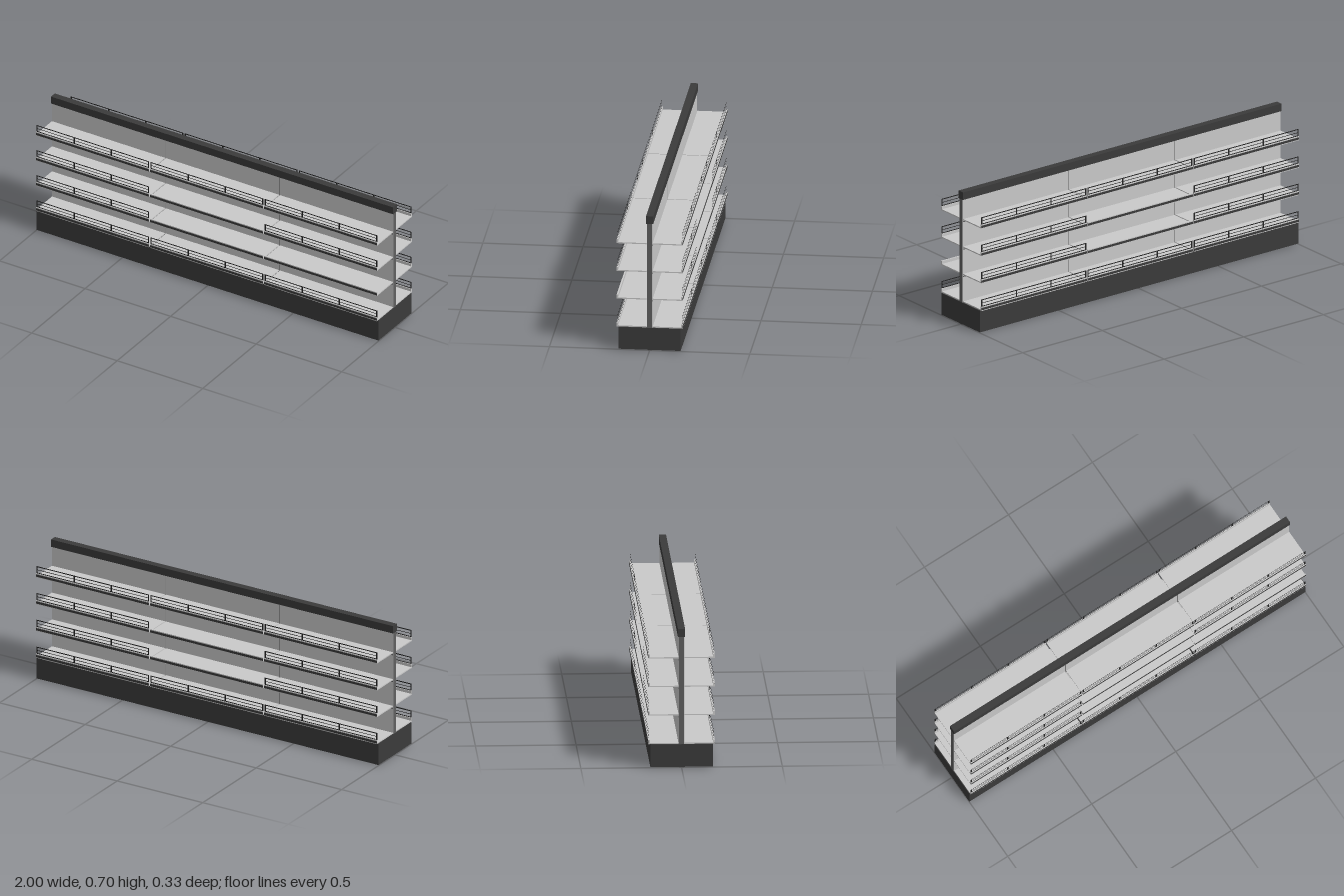
import * as THREE from 'three';

const mat = (name, color, side = THREE.FrontSide) => {
  const m = new THREE.MeshStandardMaterial({ color, side });
  m.name = name;
  return m;
};

export function createModel() {
  const light = mat('light grey metal', 0xcacaca);
  const grey = mat('mid grey metal', 0x606060);
  const dark = mat('charcoal', 0x3b3b3b);
  const wire = mat('black wire', 0x222222, THREE.DoubleSide);

  const root = new THREE.Group();
  root.name = 'doubleSidedShelving';

  // Box given by its limits on each axis
  const box = (parent, name, m, x0, x1, y0, y1, z0, z1) => {
    const mesh = new THREE.Mesh(new THREE.BoxGeometry(x1 - x0, y1 - y0, z1 - z0), m);
    mesh.position.set((x0 + x1) / 2, (y0 + y1) / 2, (z0 + z1) / 2);
    mesh.name = name;
    parent.add(mesh);
  };
  // Flat strip facing +z
  const strip = (parent, name, x, y, w, h, z) => {
    const mesh = new THREE.Mesh(new THREE.PlaneGeometry(w, h), wire);
    mesh.position.set(x, y, z);
    mesh.name = name;
    parent.add(mesh);
  };

  // Shared core: spine, plinth and top cap
  box(root, 'spine', grey, -0.999, 0.999, 0, 0.67, -0.0125, 0.0125);
  box(root, 'plinth', dark, -1, 1, 0.003, 0.118, -0.155, 0.155);
  box(root, 'topCap', dark, -1, 1, 0.665, 0.705, -0.018, 0.018);

  const bayWidth = 2 / 3, half = 0.33;
  const rows = [0.119, 0.265, 0.41, 0.556];

  // Flat wire guard standing on the shelf lip
  const addGuard = (parent, y) => {
    const guard = new THREE.Group();
    guard.name = 'wireGuard';
    const z = 0.161, w = half * 2;
    for (const dy of [0.002, 0.019, 0.036]) strip(guard, 'guardWire', 0, y + dy, w, dy === 0.019 ? 0.003 : 0.005, z);
    for (let i = 0; i < 4; i++) {
      strip(guard, 'guardUpright', (i / 3 - 0.5) * (w - 0.008), y + 0.019, 0.008, 0.038, z);
    }
    parent.add(guard);
  };

  // One bay of one side: back panel, four shelves and their guards
  const addBay = (side, x, hasGuard) => {
    const bay = new THREE.Group();
    bay.name = 'bay';
    bay.position.x = x;
    box(bay, 'backPanel', light, -0.3315, 0.3315, 0.118, 0.665, 0.0115, 0.0135);
    rows.forEach((y, row) => {
      box(bay, 'shelf', light, -half, half, y, y + 0.006, 0.015, 0.165);
      box(bay, 'shelfLip', light, -half, half, y + 0.006, y + 0.021, 0.157, 0.165);
      box(bay, 'lipStrip', dark, -half, half, y + 0.004, y + 0.016, 0.1645, 0.1655);
      if (row > 0) box(bay, 'shelfRail', grey, -half, half, y - 0.011, y - 0.006, 0.0125, 0.0145);
      if (hasGuard(row)) addGuard(bay, y + 0.021);
    });
    side.add(bay);
  };

  // Guards per side; the front misses one more in the bay at +x
  const frontGuards = [() => true, r => r === 0 || r === 3, r => r !== 1];
  const backGuards = [() => true, r => r === 0 || r === 3, () => true];

  [['frontSide', frontGuards, 0], ['backSide', backGuards, Math.PI]].forEach(([name, guards, turn]) => {
    const side = new THREE.Group();
    side.name = name;
    guards.forEach((g, i) => addBay(side, (i - 1) * bayWidth, g));
    side.rotation.y = turn;
    root.add(side);
  });

  return root;
}
